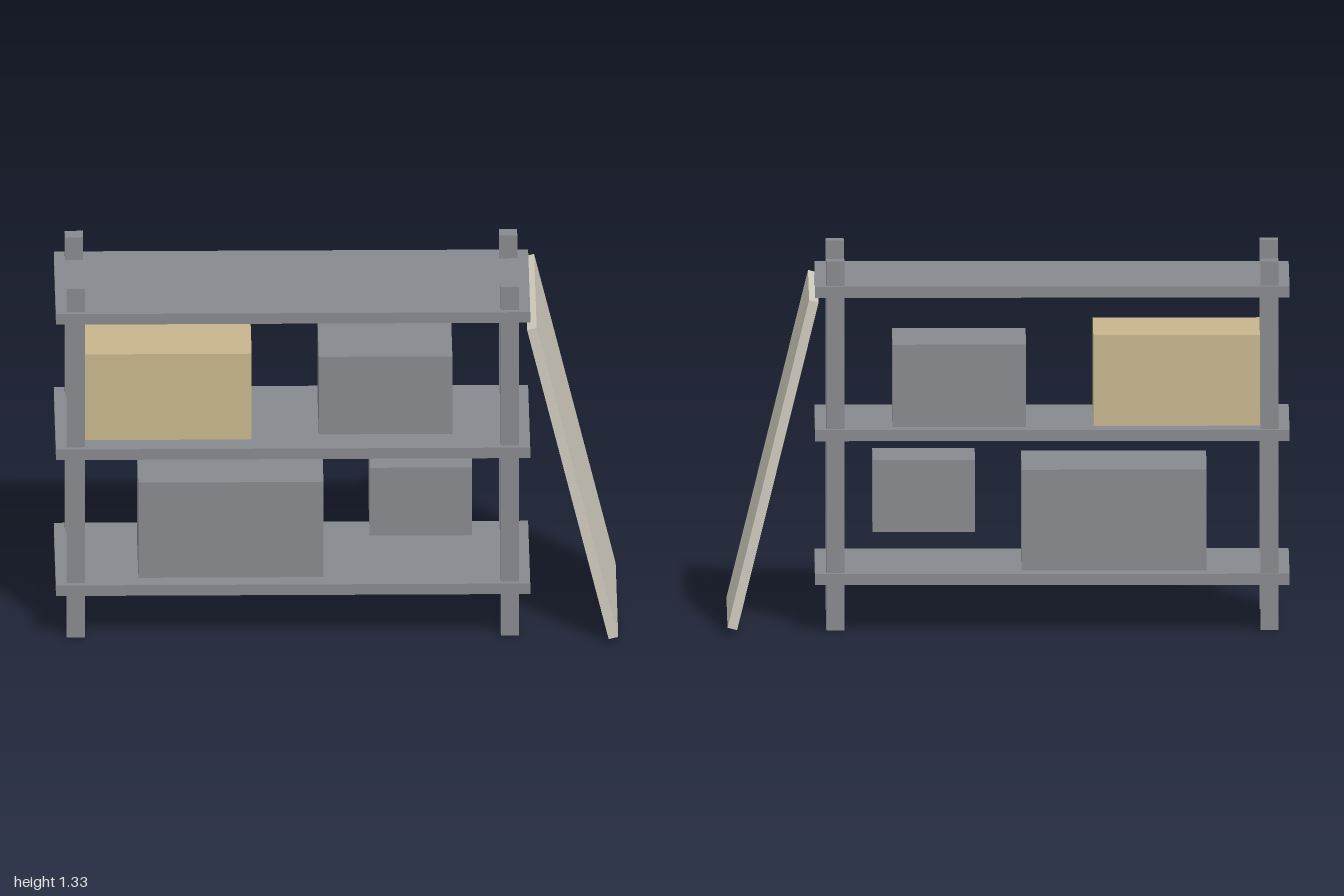
import * as THREE from 'three';

export function createModel() {
  const model = new THREE.Group();
  model.name = 'storageShelf';

  const material = (name, color) => {
    const m = new THREE.MeshStandardMaterial({ color });
    m.name = name;
    return m;
  };
  const grey = material('steelGrey', 0x85888d);
  const tan = material('cardboardTan', 0xc6b48c);
  const cream = material('creamBoard', 0xcdc9bc);

  // Box given by its limits on each axis
  const block = (name, mat, [x0, x1], [y0, y1], [z0, z1]) => {
    const mesh = new THREE.Mesh(new THREE.BoxGeometry(x1 - x0, y1 - y0, z1 - z0), mat);
    mesh.position.set((x0 + x1) / 2, (y0 + y1) / 2, (z0 + z1) / 2);
    mesh.name = name;
    model.add(mesh);
  };

  // Four upright posts
  const half = 0.0325;
  for (const x of [-0.929, 0.614])
    for (const z of [-0.258, 0.258])
      block('post', grey, [x - half, x + half], [0, 1.325], [z - half, z + half]);

  // Three shelf boards
  for (const y of [0.166, 0.683, 1.198])
    block('shelfBoard', grey, [-1, 0.686], [y, y + 0.04], [-0.313, 0.313]);

  // Stored boxes
  block('tanBox', tan, [-0.895, -0.303], [0.722, 1.049], [-0.213, 0.22]);
  block('upperGreyBox', grey, [-0.064, 0.411], [0.722, 1.018], [-0.235, 0.173]);
  block('lowerGreyBox', grey, [-0.706, -0.048], [0.205, 0.568], [-0.231, 0.24]);
  block('smallGreyBox', grey, [0.117, 0.481], [0.331, 0.589], [-0.138, 0.157]);

  // Board leaning against the end of the shelf
  const board = new THREE.Mesh(new THREE.BoxGeometry(0.035, 1.212, 0.738), cream);
  board.name = 'leaningBoard';
  board.position.set(0.836, 0.606, -0.002);
  board.rotation.z = 0.2416;
  model.add(board);

  return model;
}
